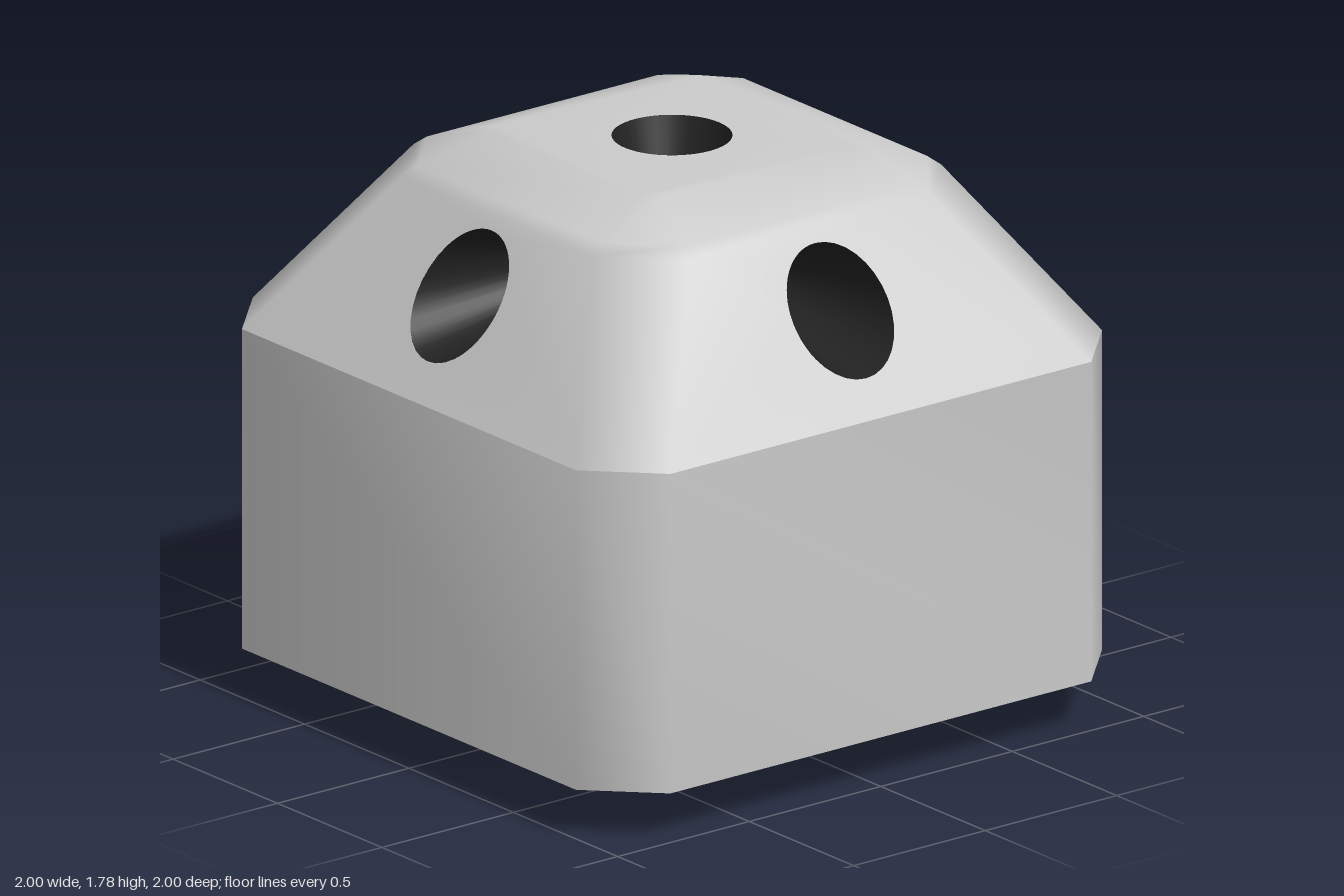
import * as THREE from 'three';
import { mergeGeometries, toCreasedNormals } from 'three/addons/utils/BufferGeometryUtils.js';

const grey = new THREE.MeshStandardMaterial({ color: 0xcccccc });
const dark = new THREE.MeshStandardMaterial({ color: 0x222222, side: THREE.DoubleSide });
const lensDark = new THREE.MeshStandardMaterial({ color: 0x2c2c2c });
const blue = new THREE.MeshStandardMaterial({ color: 0x0f48be });

const BOTTOM = 0.155, SHOULDER = 1.165, TOP = 1.78;
const HOLE_Y = 1.45, HOLE_R = 0.18, LENS_R = 0.075;
const SEG = 32;

// Chamfered-square rings of the dome: h = half width, c = corner start
const RINGS = [
  { y: SHOULDER, h: 1, c: 0.8 },
  { y: 1.67, h: 0.658, c: 0.46 },
  { y: 1.70, h: 0.62, c: 0.44 },
  { y: TOP, h: 0.4, c: 0.36 },
];
const SLOPE = (RINGS[0].h - RINGS[1].h) / (RINGS[1].y - RINGS[0].y);
const faceZ = (y) => 1 - (y - SHOULDER) * SLOPE;

function octagon({ h, c }) {
  return [[c, h], [h, c], [h, -c], [c, -h], [-c, -h], [-h, -c], [-h, c], [-c, h]];
}

function octagonShape(ring) {
  return new THREE.Shape(octagon(ring).map(([x, z]) => new THREE.Vector2(x, z)).reverse());
}

function circleHole(x, y, r) {
  return new THREE.Path().absarc(x, y, r, 0, Math.PI * 2, true);
}

function bare(geometry) {
  const g = geometry.index ? geometry.toNonIndexed() : geometry;
  g.deleteAttribute('normal');
  g.deleteAttribute('uv');
  return g;
}

function add(parent, name, geometry, material) {
  const mesh = new THREE.Mesh(geometry, material);
  mesh.name = name;
  parent.add(mesh);
  return mesh;
}

function domeGeometry() {
  const parts = [];
  // Corner chamfers, and the bevels between the upper rings
  const pos = [];
  for (let r = 0; r < RINGS.length - 1; r++) {
    const lo = octagon(RINGS[r]), hi = octagon(RINGS[r + 1]);
    const y0 = RINGS[r].y, y1 = RINGS[r + 1].y;
    for (let i = 0; i < 8; i++) {
      if (r === 0 && i % 2 === 1) continue; // large sides are pierced panels
      const j = (i + 1) % 8;
      const a = [lo[i][0], y0, lo[i][1]], b = [lo[j][0], y0, lo[j][1]];
      const c = [hi[j][0], y1, hi[j][1]], d = [hi[i][0], y1, hi[i][1]];
      pos.push(...a, ...b, ...c, ...a, ...c, ...d);
    }
  }
  const bands = new THREE.BufferGeometry();
  bands.setAttribute('position', new THREE.Float32BufferAttribute(pos, 3));
  parts.push(bands);

  // Four sloping panels with a round opening
  const [a, b] = RINGS;
  const panel = new THREE.Shape([[-a.c, a.y], [a.c, a.y], [b.c, b.y], [-b.c, b.y]]
    .map(([x, y]) => new THREE.Vector2(x, y)));
  panel.holes.push(circleHole(0, HOLE_Y, HOLE_R));
  for (let i = 0; i < 4; i++) {
    const g = bare(new THREE.ShapeGeometry(panel, SEG));
    const p = g.attributes.position;
    for (let k = 0; k < p.count; k++) p.setZ(k, faceZ(p.getY(k)));
    parts.push(g.rotateY(i * Math.PI / 2));
  }

  // Flat top with a round opening
  const top = octagonShape(RINGS[3]);
  top.holes.push(circleHole(0, 0, HOLE_R));
  parts.push(bare(new THREE.ShapeGeometry(top, SEG).rotateX(-Math.PI / 2).translate(0, TOP, 0)));
  return toCreasedNormals(mergeGeometries(parts), 0.9);
}

// Conical hood, its rim trimmed to the sloping panel
function sideHood() {
  const g = new THREE.CylinderGeometry(HOLE_R, LENS_R, 1, SEG, 1, true)
    .rotateX(Math.PI / 2).translate(0, HOLE_Y, 0);
  const p = g.attributes.position;
  for (let k = 0; k < p.count; k++) p.setZ(k, p.getZ(k) > 0 ? faceZ(p.getY(k)) : 0.4);
  return g;
}

function createSocket() {
  const socket = new THREE.Group();
  socket.name = 'connector';
  const s = 0.103, w = 0.07;
  const frame = new THREE.Shape([[-s, -s], [s, -s], [s, s], [-s, s]].map((p) => new THREE.Vector2(...p)));
  frame.holes.push(new THREE.Path([[-w, -w], [-w, w], [w, w], [w, -w]].map((p) => new THREE.Vector2(...p))));
  const rim = new THREE.ExtrudeGeometry(frame, {
    depth: 0.06, bevelThickness: 0.01, bevelSize: 0.01, bevelSegments: 2,
  }).rotateX(Math.PI / 2);
  add(socket, 'connectorRim', rim, blue).position.y = BOTTOM - 0.01;
  add(socket, 'connectorFloor', new THREE.BoxGeometry(0.16, 0.04, 0.16), blue).position.y = 0.135;
  for (const [lx, lz] of [[0.09, 0.02], [0.02, 0.09]]) {
    add(socket, 'connectorContact', new THREE.BoxGeometry(lx, 0.02, lz), blue).position.y = 0.108;
  }
  add(socket, 'connectorPin', new THREE.CylinderGeometry(0.016, 0.016, 0.04, 12), blue).position.y = 0.1;
  socket.position.x = 0.752;
  return socket;
}

function createMount() {
  const mount = new THREE.Group();
  mount.name = 'mount';
  // Flanged neck with a stepped, recessed underside
  const profile = [[0, 0.06], [0.085, 0.06], [0.088, 0.085], [0.15, 0.075], [0.185, 0.045], [0.19, 0.02],
    [0.235, 0.02], [0.24, 0.04], [0.37, 0.04], [0.375, 0.025], [0.4, 0.025], [0.405, 0],
    [0.485, 0], [0.485, 0.035], [0.46, 0.035], [0.46, BOTTOM]].map((p) => new THREE.Vector2(...p));
  add(mount, 'mountNeck', toCreasedNormals(new THREE.LatheGeometry(profile, 64), 0.5), grey);
  for (let i = 0; i < 10; i++) {
    const t = (i + 0.5) * Math.PI / 5;
    add(mount, 'mountBolt', new THREE.SphereGeometry(0.02, 12, 8), grey)
      .position.set(0.315 * Math.cos(t), 0.036, 0.315 * Math.sin(t));
  }
  mount.position.x = 0.03;
  return mount;
}

export function createModel() {
  const model = new THREE.Group();
  model.name = 'cameraHousing';

  // Lower housing
  const sides = new THREE.ExtrudeGeometry(octagonShape(RINGS[0]), { depth: SHOULDER - BOTTOM, bevelEnabled: false })
    .rotateX(-Math.PI / 2).translate(0, BOTTOM, 0);
  add(model, 'lowerHousing', toCreasedNormals(sides, 0.9), grey);
  add(model, 'upperHousing', domeGeometry(), grey);

  // Side cameras
  for (let i = 0; i < 4; i++) {
    const camera = new THREE.Group();
    camera.name = 'sideCamera';
    add(camera, 'lensHood', sideHood(), dark);
    add(camera, 'lens', new THREE.CircleGeometry(LENS_R, SEG), lensDark).position.set(0, HOLE_Y, 0.4);
    camera.rotation.y = i * Math.PI / 2;
    model.add(camera);
  }

  // Top camera
  const topCamera = new THREE.Group();
  topCamera.name = 'topCamera';
  add(topCamera, 'lensHood', new THREE.CylinderGeometry(HOLE_R, LENS_R, 0.38, SEG, 1, true), dark).position.y = TOP - 0.19;
  add(topCamera, 'lens', new THREE.CircleGeometry(LENS_R, SEG).rotateX(-Math.PI / 2), lensDark).position.y = TOP - 0.38;
  model.add(topCamera);

  model.add(createMount(), createSocket());
  return model;
}
